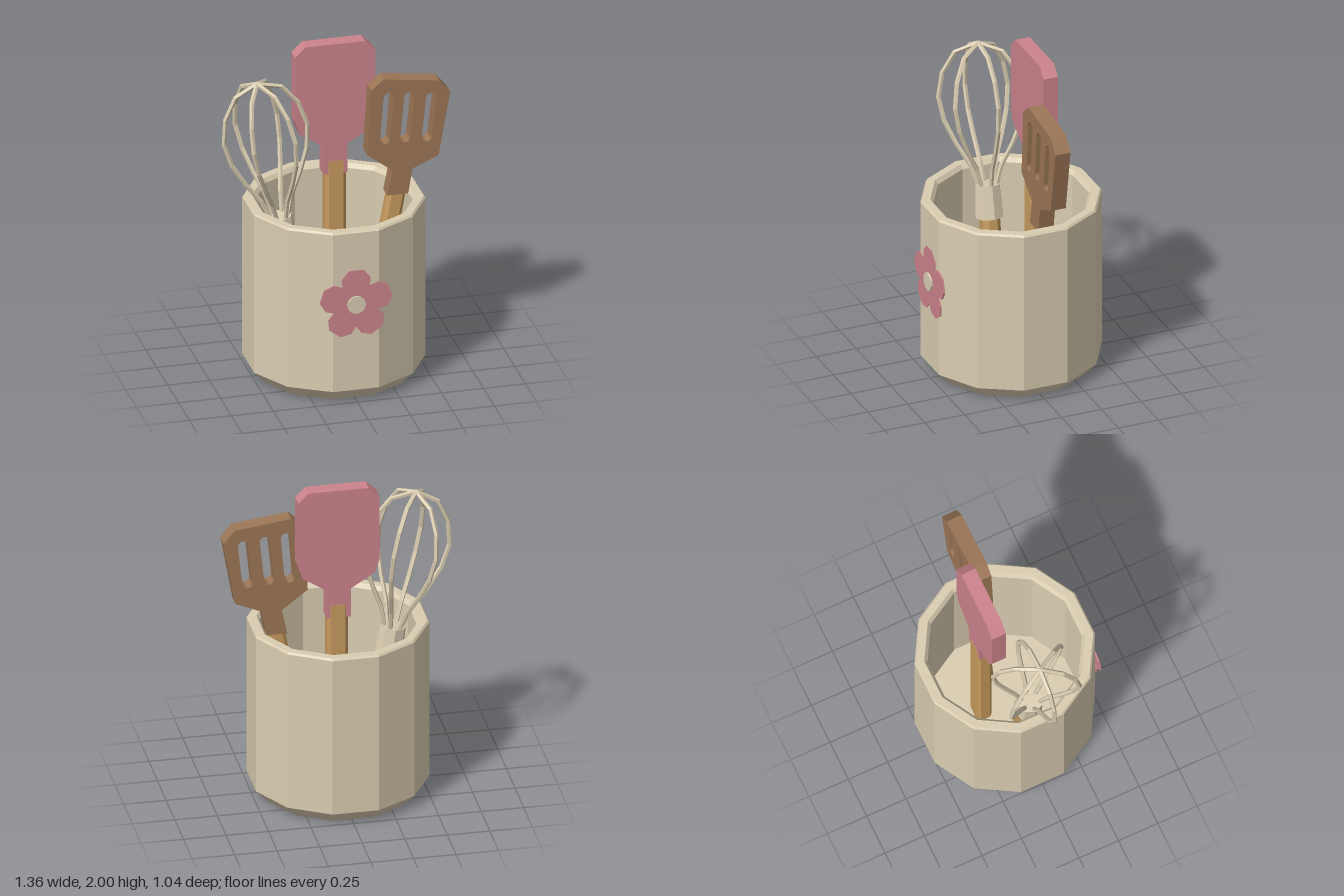
import * as THREE from 'three';

const material = (name, color) => {
  const m = new THREE.MeshStandardMaterial({ color, flatShading: true });
  m.name = name;
  return m;
};

export function createModel() {
  const cream = material('cream', 0xd9ccb0);
  const pink = material('pink', 0xcc838c);
  const brown = material('brown', 0x9c7656);
  const wood = material('golden wood', 0xc69a5e);

  const model = new THREE.Group();
  model.name = 'utensilHolder';
  const add = (name, geometry, mat, parent = model) => {
    const mesh = new THREE.Mesh(geometry, mat);
    mesh.name = name;
    parent.add(mesh);
    return mesh;
  };
  const vectors = (pts) => pts.map(([x, y]) => new THREE.Vector2(x, y));

  // Flat plate cut from an outline in x and y, between two z values
  const plate = (outline, z0, z1, holes = []) => {
    const shape = new THREE.Shape(vectors(outline));
    shape.holes.push(...holes);
    return new THREE.ExtrudeGeometry(shape, { depth: z1 - z0, bevelEnabled: false, curveSegments: 6 }).translate(0, 0, z0);
  };

  // Chamfered bar hanging down from its origin
  const bar = (w, d, c, length) => {
    const x = w / 2, y = d / 2;
    const outline = [[x - c, -y], [x, c - y], [x, y - c], [x - c, y], [c - x, y], [-x, y - c], [-x, c - y], [c - x, -y]];
    return plate(outline, 0, length).rotateX(Math.PI / 2);
  };

  // Twelve-sided crock with a flat facing the front
  const crock = [[0, 0], [0.452, 0], [0.528, 0.08], [0.528, 1.073], [0.518, 1.085], [0.471, 1.085], [0.452, 1.06], [0.452, 0.1], [0, 0.1]];
  add('crock', new THREE.LatheGeometry(vectors(crock), 12, Math.PI / 12), cream).position.set(-0.008, 0, -0.009);

  // Five-petal flower on the front
  const flower = new THREE.Group();
  flower.name = 'flower';
  flower.position.set(-0.008, 0.623, 0);
  model.add(flower);
  const petal = [[0.082, 0.113], [0.084, 0.165], [0.042, 0.214], [-0.042, 0.214], [-0.084, 0.165]];
  const petals = [];
  for (let i = 0; i < 5; i++) {
    const a = (i * Math.PI * 2) / 5, c = Math.cos(a), s = Math.sin(a);
    for (const [x, y] of petal) petals.push([x * c - y * s, x * s + y * c]);
  }
  add('petals', plate(petals, 0.496, 0.505), pink, flower);
  add('flowerCentre', new THREE.CylinderGeometry(0.055, 0.055, 0.02, 12).rotateX(Math.PI / 2), cream, flower).position.z = 0.507;

  // Pink scraper with an upright handle
  add('scraperBlade', plate([
    [-0.047, 1.18], [0.095, 1.18], [0.095, 1.36], [0.235, 1.45], [0.262, 1.53], [0.262, 1.94], [0.2, 2],
    [-0.152, 2], [-0.215, 1.94], [-0.215, 1.53], [-0.188, 1.45], [-0.047, 1.36],
  ], -0.188, -0.098), pink);
  add('scraperHandle', bar(0.125, 0.096, 0.02, 1.15), wood).position.set(0.028, 1.26, -0.143);

  // Slotted turner leaning to its left
  const slot = (x0, y0, x1, y1, r) => {
    const a = Math.atan2(y1 - y0, x1 - x0), q = Math.PI / 2;
    const hole = new THREE.Path();
    hole.absarc(x1, y1, r, a - q, a + q, false);
    hole.absarc(x0, y0, r, a + q, a + 3 * q, false);
    hole.closePath();
    return hole;
  };
  add('turnerBlade', plate([
    [0.305, 1.055], [0.43, 1.055], [0.455, 1.21], [0.61, 1.275], [0.68, 1.67], [0.615, 1.75],
    [0.285, 1.793], [0.21, 1.73], [0.185, 1.325], [0.337, 1.21],
  ], -0.087, 0.008, [
    slot(0.292, 1.41, 0.313, 1.674, 0.03),
    slot(0.412, 1.41, 0.437, 1.663, 0.03),
    slot(0.54, 1.4, 0.566, 1.647, 0.03),
  ]), brown);
  const turnerHandle = add('turnerHandle', bar(0.105, 0.088, 0.02, 0.97), wood);
  turnerHandle.position.set(0.373, 1.09, -0.04);
  turnerHandle.rotation.z = -0.18;

  // Whisk leaning to its right: three wire loops, ferrule and handle
  const whisk = new THREE.Group();
  whisk.name = 'whisk';
  whisk.position.set(-0.335, 1, 0);
  whisk.rotation.z = 0.156;
  model.add(whisk);
  const half = [[0.045, -0.03], [0.08, 0.09], [0.195, 0.31], [0.25, 0.49], [0.226, 0.665], [0.13, 0.815]];
  const loop = [...half, [0, 0.86], ...half.map(([x, y]) => [-x, y]).reverse()];
  const wire = new THREE.CatmullRomCurve3(loop.map(([x, y]) => new THREE.Vector3(x, y, 0)));
  for (let i = 0; i < 3; i++) {
    add('whiskWire', new THREE.TubeGeometry(wire, 14, 0.014, 5), cream, whisk).rotation.y = (i * Math.PI) / 3;
  }
  add('whiskFerrule', new THREE.CylinderGeometry(0.075, 0.085, 0.2, 8), cream, whisk).position.y = -0.1;
  add('whiskHandle', bar(0.115, 0.11, 0.03, 0.6), wood, whisk).position.y = -0.18;

  return model;
}
